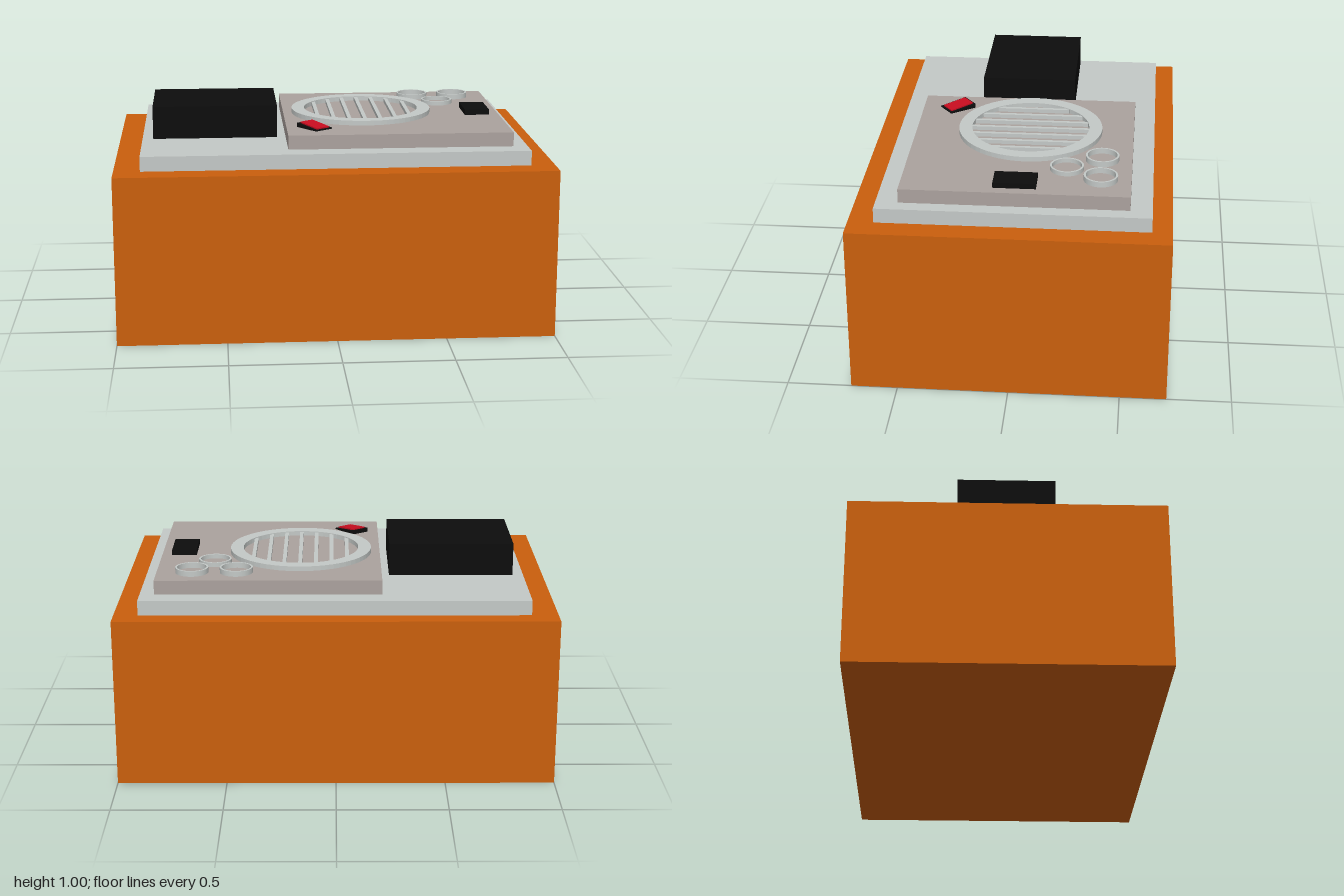
import * as THREE from 'three';

const material = (name, color) => {
  const m = new THREE.MeshStandardMaterial({ color });
  m.name = name;
  return m;
};

export function createModel() {
  const orange = material('orange case', 0xca5f0d);
  const silver = material('silver', 0xc4c9c7);
  const taupe = material('taupe panel', 0xaba29e);
  const black = material('black', 0x0d0d0d);
  const red = material('red', 0xc80d20);

  const model = new THREE.Group();
  model.name = 'deviceBox';

  const add = (name, geometry, mat, parent = model) => {
    const mesh = new THREE.Mesh(geometry, mat);
    mesh.name = name;
    parent.add(mesh);
    return mesh;
  };

  // Box given by its limits on each axis
  const block = (name, mat, [x0, x1], [y0, y1], [z0, z1], parent) => {
    const mesh = add(name, new THREE.BoxGeometry(x1 - x0, y1 - y0, z1 - z0), mat, parent);
    mesh.position.set((x0 + x1) / 2, (y0 + y1) / 2, (z0 + z1) / 2);
    return mesh;
  };

  // Flat upright ring with an open middle
  const ring = (name, x, z, outer, inner, y0, y1, parent) => {
    const shape = new THREE.Shape().absarc(0, 0, outer, 0, Math.PI * 2);
    shape.holes.push(new THREE.Path().absarc(0, 0, inner, 0, Math.PI * 2, true));
    const geometry = new THREE.ExtrudeGeometry(shape, {
      depth: y1 - y0, bevelEnabled: false, curveSegments: 32,
    });
    geometry.rotateX(-Math.PI / 2);
    const mesh = add(name, geometry, silver, parent);
    mesh.position.set(x, y0, z);
  };

  // Stacked case and plates
  const panelTop = 0.913;
  block('case', orange, [-1, 1], [0, 0.78], [-0.71, 0.71]);
  block('topPlate', silver, [-0.88, 0.89], [0.78, 0.848], [-0.62, 0.595]);
  block('controlPanel', taupe, [-0.21, 0.824], [0.848, panelTop], [-0.523, 0.495]);
  block('blackBox', black, [-0.83, -0.25], [0.848, 1.0], [-0.225, 0.222]);
  block('smallSwitch', black, [0.66, 0.777], [panelTop, 0.938], [-0.108, 0.083]);

  // Round speaker grille with straight slats
  const grille = new THREE.Group();
  grille.name = 'grille';
  model.add(grille);
  const cx = 0.166, cz = -0.04, inner = 0.274;
  ring('grilleRim', cx, cz, 0.335, inner, panelTop, 0.935, grille);
  for (let i = -3; i <= 3; i++) {
    const x = i * 0.073;
    const half = Math.sqrt(inner * inner - x * x) + 0.004;
    block('grilleSlat', silver, [cx + x - 0.009, cx + x + 0.009],
      [panelTop, 0.931], [cz - half, cz + half], grille);
  }

  // Three thin dial rings
  for (const [x, z, top] of [[0.457, -0.387, 0.938], [0.661, -0.387, 0.938], [0.563, -0.232, 0.933]]) {
    ring('dialRing', x, z, 0.076, 0.067, panelTop, top);
  }

  // Angled rocker switch: a wedge, low at the front and high at the back
  const wedge = (width, length, low, high) => {
    const shape = new THREE.Shape([
      new THREE.Vector2(-length / 2, 0), new THREE.Vector2(length / 2, 0),
      new THREE.Vector2(length / 2, high), new THREE.Vector2(-length / 2, low),
    ]);
    const geometry = new THREE.ExtrudeGeometry(shape, { depth: width, bevelEnabled: false });
    geometry.translate(0, 0, -width / 2);
    return geometry.rotateY(Math.PI / 2);
  };
  const rocker = new THREE.Group();
  rocker.name = 'rockerSwitch';
  rocker.position.set(-0.08, panelTop, 0.33);
  rocker.rotation.y = 0.64;
  model.add(rocker);
  add('rockerFrame', wedge(0.098, 0.136, 0.005, 0.02), black, rocker);
  add('rockerButton', wedge(0.074, 0.118, 0.012, 0.025), red, rocker);

  return model;
}
